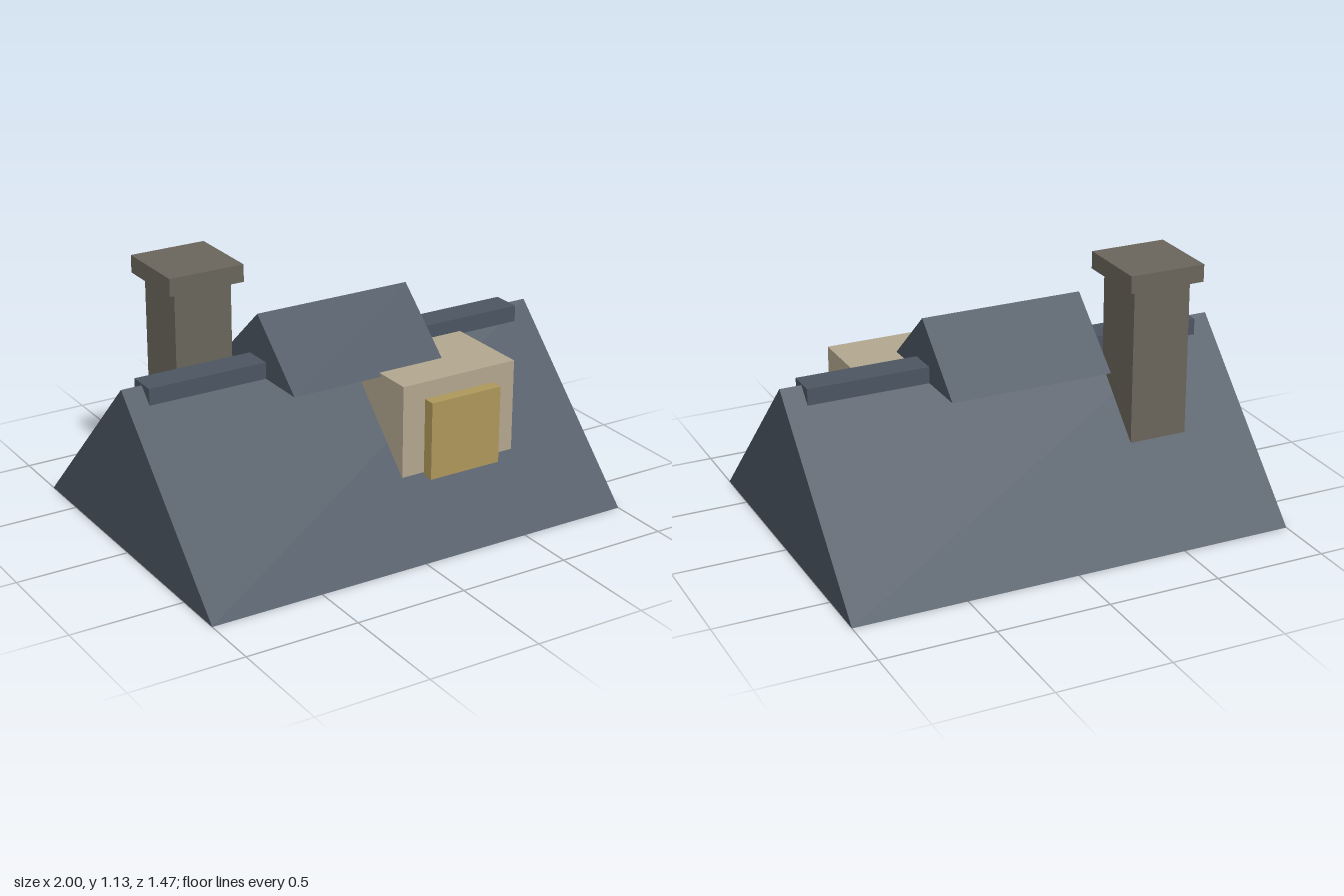
import * as THREE from 'three';

const flat = (name, color) => {
  const m = new THREE.MeshStandardMaterial({ color });
  m.name = name;
  return m;
};

export function createModel() {
  const group = new THREE.Group();
  const slate = flat('slate', 0x4b5561);
  const stone = flat('stone', 0x69655b);
  const plaster = flat('plaster', 0xb2a68e);
  const amber = flat('amber', 0xae975a);

  const add = (name, geometry, material) => {
    const mesh = new THREE.Mesh(geometry, material);
    mesh.name = name;
    group.add(mesh);
  };

  // Box given by its lower and upper limits on each axis
  const box = (name, material, [x0, x1], [y0, y1], [z0, z1]) => {
    const g = new THREE.BoxGeometry(x1 - x0, y1 - y0, z1 - z0);
    g.translate((x0 + x1) / 2, (y0 + y1) / 2, (z0 + z1) / 2);
    add(name, g, material);
  };

  // Triangular gable prism running along x
  const gable = (name, material, [x0, x1], [y0, y1], halfDepth) => {
    const s = new THREE.Shape([
      new THREE.Vector2(-halfDepth, y0),
      new THREE.Vector2(halfDepth, y0),
      new THREE.Vector2(0, y1),
    ]);
    const g = new THREE.ExtrudeGeometry(s, { depth: x1 - x0, bevelEnabled: false });
    g.rotateY(Math.PI / 2).translate(x0, 0, 0);
    add(name, g, material);
  };

  // Roofs and ridge cap
  gable('mainRoof', slate, [-1, 1], [0, 0.733], 0.733);
  gable('raisedRoof', slate, [-0.367, 0.365], [0.667, 0.934], 0.298);
  box('ridgeCap', slate, [-0.907, 0.905], [0.667, 0.74], [-0.066, 0.066]);

  // Dormer with its window
  box('dormer', plaster, [0.052, 0.61], [0.27, 0.68], [0.0, 0.466]);
  box('dormerWindow', amber, [0.16, 0.504], [0.256, 0.603], [0.44, 0.52]);

  // Chimney
  box('chimneyStack', stone, [-0.693, -0.43], [0.3, 1.06], [-0.371, -0.107]);
  box('chimneyCap', stone, [-0.733, -0.39], [1.057, 1.134], [-0.414, -0.068]);

  return group;
}
